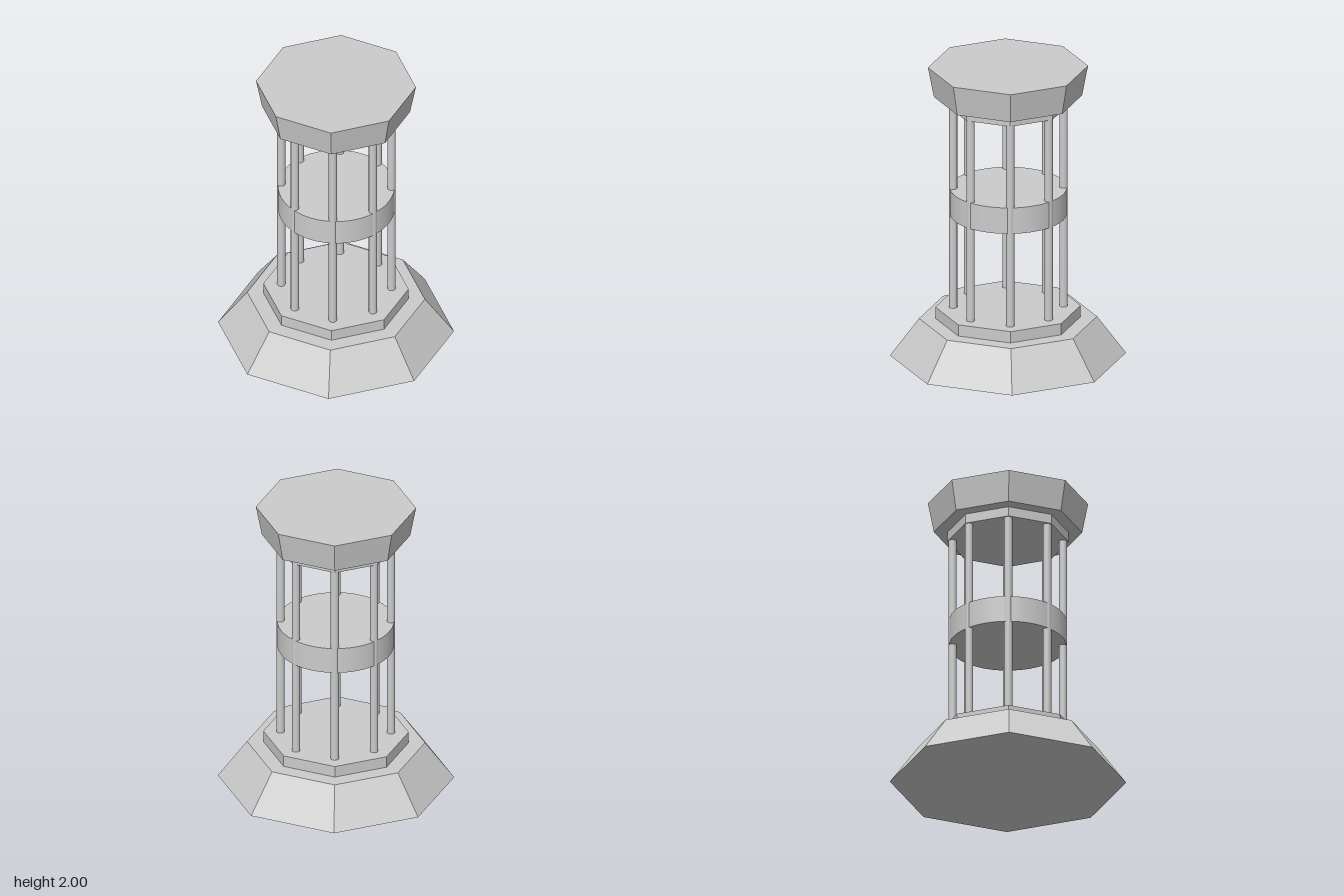
import * as THREE from 'three';

export function createModel() {
  const model = new THREE.Group();
  const faceted = new THREE.MeshStandardMaterial({ color: 0xcccccc, flatShading: true });
  const smooth = new THREE.MeshStandardMaterial({ color: 0xcccccc });

  // Upright round or polygonal section from height y0 to y1
  function drum(name, rTop, rBottom, y0, y1, sides, material, x = 0, z = 0) {
    const mesh = new THREE.Mesh(new THREE.CylinderGeometry(rTop, rBottom, y1 - y0, sides), material);
    mesh.name = name;
    mesh.position.set(x, (y0 + y1) / 2, z);
    model.add(mesh);
  }

  // Octagonal base and plinth
  drum('base', 0.58, 0.77, 0, 0.255, 8, faceted);
  drum('plinth', 0.474, 0.474, 0.255, 0.333, 8, faceted);

  // Round platform held inside the ring of columns
  const centreX = 0.003;
  drum('middleDisc', 0.381, 0.381, 0.98, 1.16, 48, smooth, centreX);

  // Eight slender columns
  for (let i = 0; i < 8; i++) {
    const a = (i * Math.PI) / 4;
    drum('column' + (i + 1), 0.027, 0.027, 0.333, 1.73, 16, smooth,
      centreX + 0.36 * Math.sin(a), 0.36 * Math.cos(a));
  }

  // Octagonal collar and flared cap
  drum('collar', 0.395, 0.395, 1.73, 1.795, 8, faceted);
  drum('cap', 0.522, 0.483, 1.795, 2, 8, faceted);

  return model;
}
